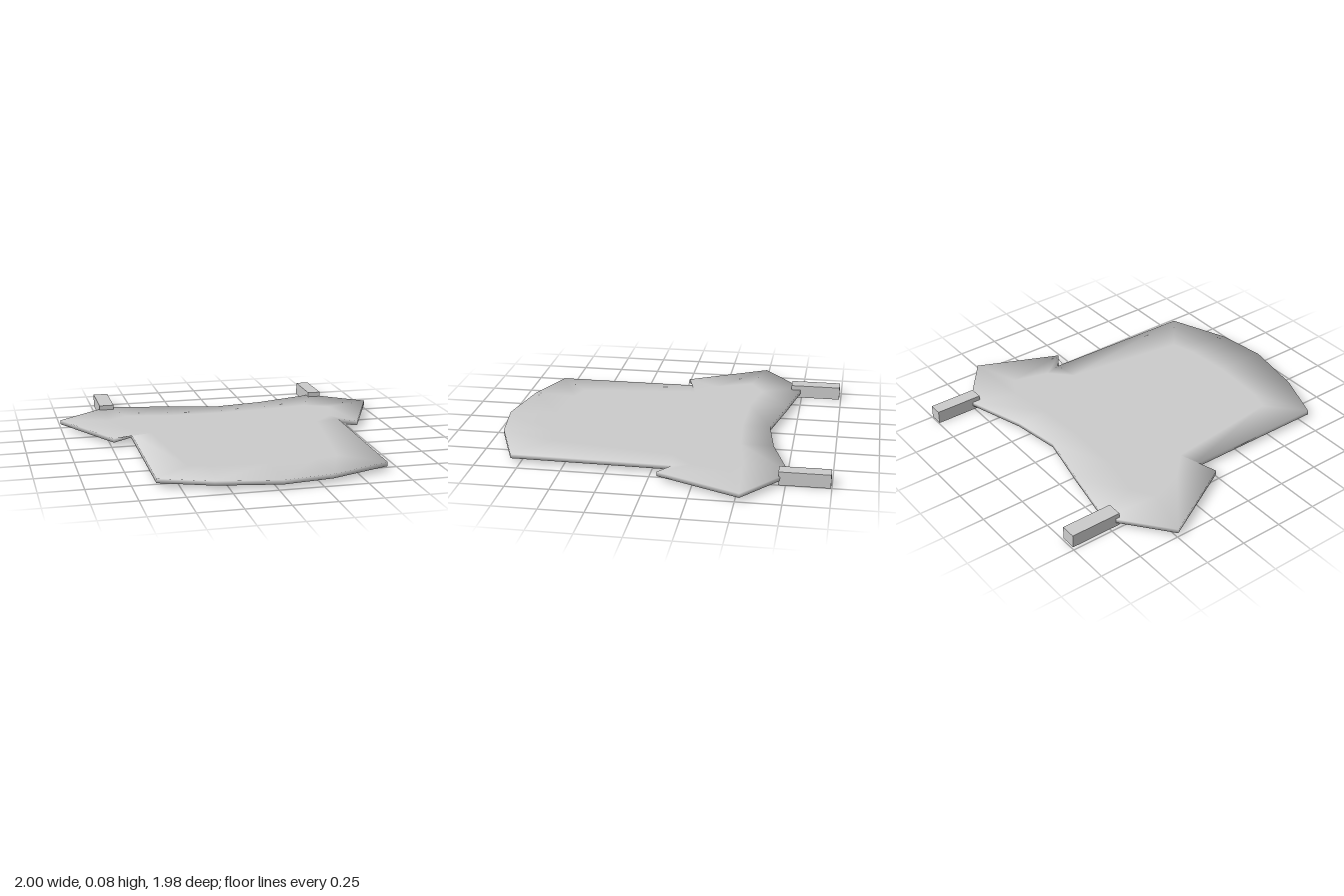
import * as THREE from 'three';

// Half of each entry is the rim point [x, z], half the matching point inside the rim.
// Order runs counter-clockwise as seen from above.
const OUTLINE = [
  [-0.68, -0.75, -0.58, -0.5],   // shoulder
  [-1.0, -0.495, -0.71, -0.42],  // sleeve
  [-0.735, -0.01, -0.62, -0.2],
  [-0.62, -0.095, -0.5, -0.08],  // armpit
  [-0.625, 0.805, -0.42, 0.62],  // hem
  [-0.33, 0.92, -0.3, 0.66],
  [0.03, 0.985, 0.03, 0.68],
  [0.32, 0.945, 0.3, 0.66],
  [0.675, 0.805, 0.44, 0.62],
  [0.69, -0.12, 0.54, -0.1],     // armpit
  [0.79, -0.05, 0.66, -0.22],    // sleeve
  [1.0, -0.525, 0.72, -0.43],
  [0.69, -0.765, 0.58, -0.5],    // shoulder
  [0.32, -0.65, 0.32, -0.46],    // neckline
  [0.03, -0.605, 0.03, -0.44],
  [-0.32, -0.68, -0.32, -0.45],
];
const TOP = 0.05;
const BOTTOM = 0.025;

function shirtGeometry() {
  const n = OUTLINE.length;
  const positions = [], normals = [], index = [];

  // Outward direction of the rim at point i, averaged over its two edges
  const outward = (i) => {
    const sum = new THREE.Vector2();
    for (const k of [i + n - 1, i]) {
      const a = OUTLINE[k % n], b = OUTLINE[(k + 1) % n];
      sum.add(new THREE.Vector2(a[1] - b[1], b[0] - a[0]).normalize());
    }
    return sum.normalize();
  };

  // Rings: 0 top rim, 1 top inner, 2 bottom rim, 3 bottom inner
  for (const [y, up] of [[TOP, 1], [BOTTOM, -1]]) {
    OUTLINE.forEach(([x, z], i) => {
      const o = outward(i);
      const v = new THREE.Vector3(o.x, 0.9 * up, o.y).normalize();
      positions.push(x, y, z);
      normals.push(v.x, v.y, v.z);
    });
    OUTLINE.forEach(([, , x, z]) => {
      positions.push(x, y, z);
      normals.push(0, up, 0);
    });
  }

  const quad = (a, b, c, d) => index.push(a, b, c, a, c, d);
  for (let i = 0; i < n; i++) {
    const j = (i + 1) % n;
    quad(i, j, n + j, n + i);                         // top border
    quad(2 * n + j, 2 * n + i, 3 * n + i, 3 * n + j); // bottom border
    quad(2 * n + i, 2 * n + j, j, i);                 // edge
  }

  // Flat middle, top and bottom
  const inner = OUTLINE.map(([, , x, z]) => new THREE.Vector2(x, -z));
  for (const [a, b, c] of THREE.ShapeUtils.triangulateShape(inner, [])) {
    index.push(n + a, n + b, n + c);
    index.push(3 * n + a, 3 * n + c, 3 * n + b);
  }

  const geometry = new THREE.BufferGeometry();
  geometry.setAttribute('position', new THREE.Float32BufferAttribute(positions, 3));
  geometry.setAttribute('normal', new THREE.Float32BufferAttribute(normals, 3));
  geometry.setIndex(index);
  return geometry;
}

export function createModel() {
  const group = new THREE.Group();
  group.name = 'hangingShirt';
  const material = new THREE.MeshStandardMaterial({ color: 0xcccccc });

  const shirt = new THREE.Mesh(shirtGeometry(), material);
  shirt.name = 'shirt';
  group.add(shirt);

  // Clothes pegs gripping the shoulders
  const addPeg = (name, x0, x1, z0, z1) => {
    const peg = new THREE.Mesh(new THREE.BoxGeometry(x1 - x0, 0.078, z1 - z0), material);
    peg.name = name;
    peg.position.set((x0 + x1) / 2, 0.039, (z0 + z1) / 2);
    group.add(peg);
  };
  addPeg('rightPeg', -0.73, -0.64, -0.99, -0.685);
  addPeg('leftPeg', 0.67, 0.75, -0.995, -0.71);

  return group;
}
